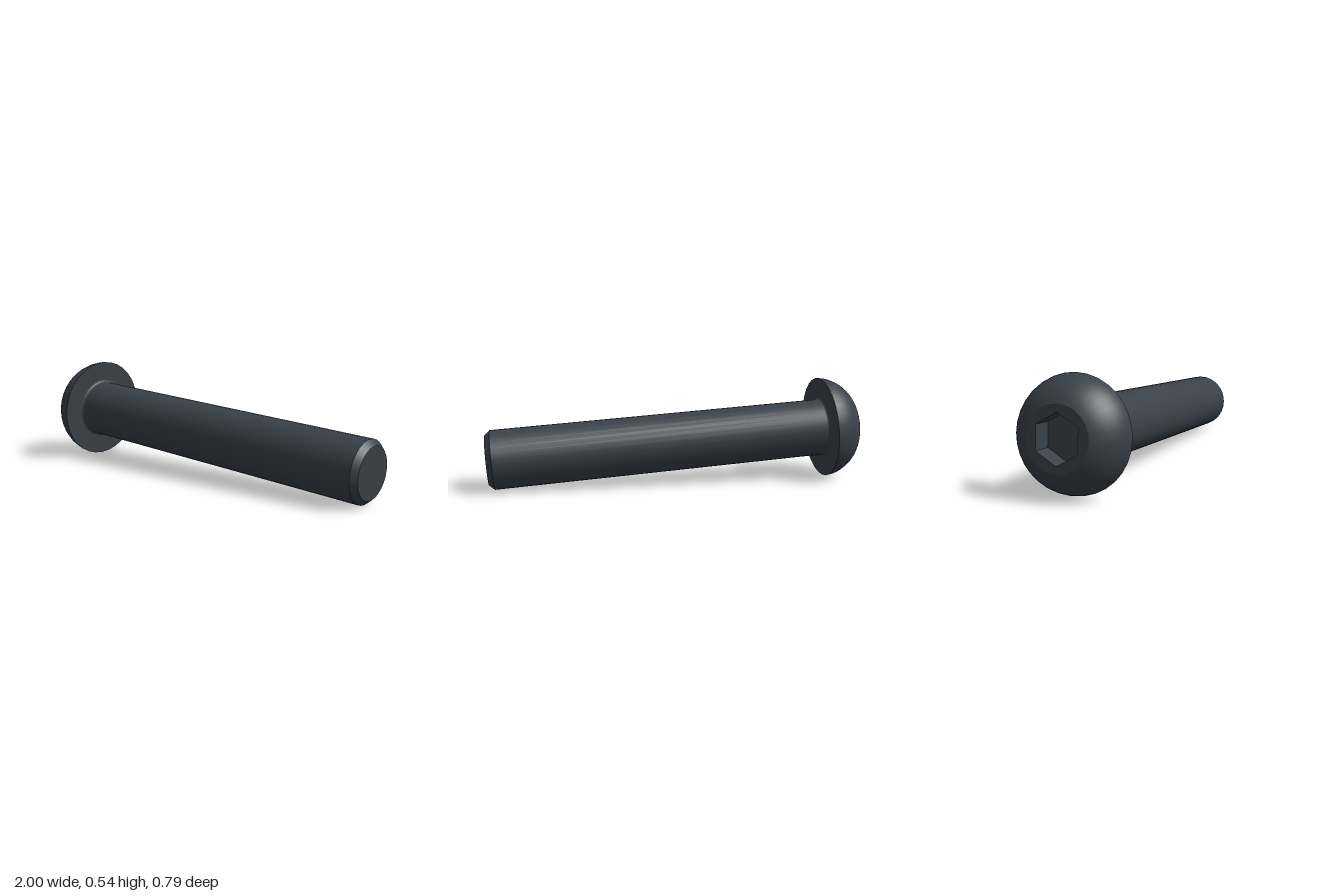
import * as THREE from 'three';

export function createModel() {
  const group = new THREE.Group();
  group.name = 'buttonHeadBolt';
  const steel = new THREE.MeshStandardMaterial({ color: 0x3a4149 });
  steel.name = 'black steel';

  const SEG = 32;
  const headR = 0.272, headH = 0.171, topR = 0.15;
  const shaftR = 0.154, tipR = 0.128, chamfer = 0.028, length = 1.814;
  const fillet = 0.015, hexR = 0.114, socketDepth = 0.107;

  const add = (name, geometry) => {
    const mesh = new THREE.Mesh(geometry, steel);
    mesh.name = name;
    group.add(mesh);
  };
  // Each profile runs along the bolt axis (+y towards the tip); separate parts keep edges sharp
  const turned = (name, points) =>
    add(name, new THREE.LatheGeometry(points.map(p => new THREE.Vector2(p[0], p[1])), SEG));
  const arc = (cx, cy, r, from, to, n) => Array.from({ length: n + 1 }, (_, i) => {
    const a = from + (to - from) * i / n;
    return [cx + r * Math.cos(a), cy + r * Math.sin(a)];
  });

  // Domed head
  const cx = 0.06, cy = 0.0222;
  const domeR = Math.hypot(headR - cx, cy);
  turned('headDome', arc(cx, cy, domeR,
    Math.atan2(-headH - cy, topR - cx), Math.atan2(-cy, headR - cx), 12));
  turned('headUnderside', [[headR, 0], [shaftR + fillet, 0]]);

  // Shaft with a small fillet under the head and a chamfered tip
  turned('shaft', [
    ...arc(shaftR + fillet, fillet, fillet, -Math.PI / 2, -Math.PI, 5),
    [shaftR, length - chamfer],
  ]);
  turned('tipChamfer', [[shaftR, length - chamfer], [tipR, length]]);
  turned('tipFace', [[tipR, length], [0, length]]);

  // Flat ring around the hexagonal opening
  const polygon = (r, n) => Array.from({ length: n }, (_, i) => {
    const a = Math.PI / 2 + i / n * Math.PI * 2;
    return new THREE.Vector2(r * Math.cos(a), r * Math.sin(a));
  });
  const ring = new THREE.Shape(polygon(topR, SEG));
  ring.holes.push(new THREE.Path(polygon(hexR, 6)));
  add('headTopRing', new THREE.ShapeGeometry(ring).rotateX(Math.PI / 2).translate(0, -headH, 0));

  // Hex socket: floor and six flat walls
  const floorY = -headH + socketDepth;
  const socket = new THREE.LatheGeometry([
    new THREE.Vector2(0, floorY), new THREE.Vector2(hexR, floorY), new THREE.Vector2(hexR, -headH),
  ], 6).toNonIndexed();
  socket.computeVertexNormals();
  add('hexSocket', socket);

  // Lay the bolt down, resting on the head rim and the tip
  const axis = new THREE.Vector3(1.77, -0.118, 0.38).normalize();
  const side = new THREE.Vector3().crossVectors(axis, new THREE.Vector3(0, 1, 0)).normalize();
  const up = new THREE.Vector3().crossVectors(side, axis);
  group.quaternion.setFromRotationMatrix(new THREE.Matrix4().makeBasis(side, axis, up));
  group.position.set(-0.8, 0.272, -0.131);

  const model = new THREE.Group();
  model.name = 'bolt';
  model.add(group);
  return model;
}
